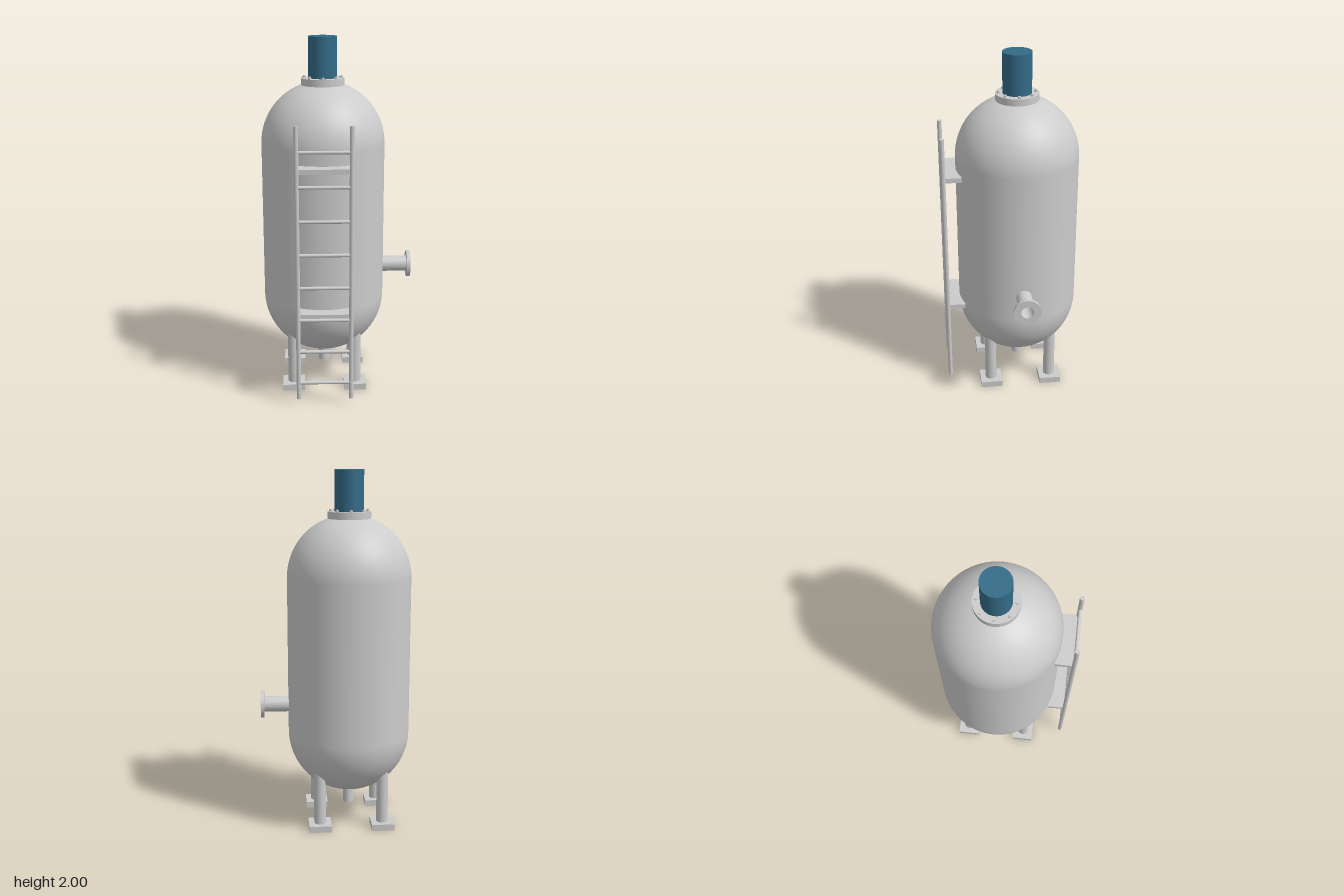
import * as THREE from 'three';

const grey = new THREE.MeshStandardMaterial({ color: 0xcccccc });
const blue = new THREE.MeshStandardMaterial({ color: 0x336b87 });

// Vessel axis, radius and the centres of its two domed ends
const CX = -0.079, CZ = -0.044, R = 0.345, LOW = 0.53, HIGH = 1.413;

function add(parent, name, geometry, x, y, z, material = grey) {
  const mesh = new THREE.Mesh(geometry, material);
  mesh.name = name;
  mesh.position.set(x, y, z);
  parent.add(mesh);
  return mesh;
}

function rod(parent, name, r, y0, y1, x, z, material = grey, sides = 32) {
  return add(parent, name, new THREE.CylinderGeometry(r, r, y1 - y0, sides), x, (y0 + y1) / 2, z, material);
}

// Hollow pipe along y, from y = 0 to y = length
function pipe(outer, inner, length) {
  const shape = new THREE.Shape().absarc(0, 0, outer, 0, Math.PI * 2, false);
  shape.holes.push(new THREE.Path().absarc(0, 0, inner, 0, Math.PI * 2, true));
  const g = new THREE.ExtrudeGeometry(shape, { depth: length, bevelEnabled: false, curveSegments: 32 });
  return g.rotateX(-Math.PI / 2);
}

function buildVessel() {
  const g = new THREE.Group();
  g.name = 'vessel';
  add(g, 'shell', new THREE.CapsuleGeometry(R, HIGH - LOW, 24, 72), CX, (HIGH + LOW) / 2, CZ);
  add(g, 'drainPipe', pipe(0.03, 0.02, 0.12), CX, 0.09, CZ);
  return g;
}

function buildMotor() {
  const g = new THREE.Group();
  g.name = 'motorAssembly';
  rod(g, 'topFlange', 0.12, 1.735, 1.775, CX, CZ, grey, 64);
  rod(g, 'motor', 0.08, 1.775, 2, CX, CZ, blue, 64);
  // Ring of bolts round the motor
  for (let i = 0; i < 8; i++) {
    const a = (i * Math.PI) / 4;
    const x = CX + 0.102 * Math.cos(a), z = CZ + 0.102 * Math.sin(a);
    rod(g, 'boltHead', 0.009, 1.77, 1.785, x, z, grey, 16);
    rod(g, 'boltTip', 0.005, 1.785, 1.788, x, z, grey, 12);
  }
  return g;
}

function buildLegs() {
  const g = new THREE.Group();
  g.name = 'legs';
  for (const sx of [-1, 1]) {
    for (const sz of [-1, 1]) {
      const x = CX + sx * 0.177, z = CZ + sz * 0.177;
      rod(g, 'leg', 0.033, 0.03, 0.38, x, z);
      add(g, 'footPad', new THREE.BoxGeometry(0.127, 0.036, 0.127), x, 0.018, z);
    }
  }
  return g;
}

// Side outlet, built upright and turned to point along +x
function buildNozzle() {
  const g = new THREE.Group();
  g.name = 'sideNozzle';
  add(g, 'nozzlePipe', pipe(0.044, 0.035, 0.175), 0, 0, 0);
  add(g, 'nozzleFlange', pipe(0.076, 0.035, 0.02), 0, 0.163, 0);
  g.rotation.z = -Math.PI / 2;
  g.position.set(0.24, 0.69, CZ);
  return g;
}

function buildLadder() {
  const g = new THREE.Group();
  g.name = 'ladder';
  const z = 0.376, half = 0.145;
  for (const s of [-1, 1]) rod(g, 'rail', 0.0125, 0.045, 1.58, CX + s * half, z, grey, 20);
  for (let i = 0; i < 8; i++) {
    const rung = add(g, 'rung', new THREE.CylinderGeometry(0.0095, 0.0095, half * 2, 16), CX, 0.14 + i * 0.186, z);
    rung.rotation.z = Math.PI / 2;
  }
  // Plates tying the ladder to the shell
  for (const y of [0.528, 1.337])
    add(g, 'bracket', new THREE.BoxGeometry(half * 2, 0.027, 0.095), CX, y, 0.3225);
  return g;
}

export function createModel() {
  const model = new THREE.Group();
  model.name = 'reactorTank';
  model.add(buildVessel(), buildMotor(), buildLegs(), buildNozzle(), buildLadder());
  return model;
}
